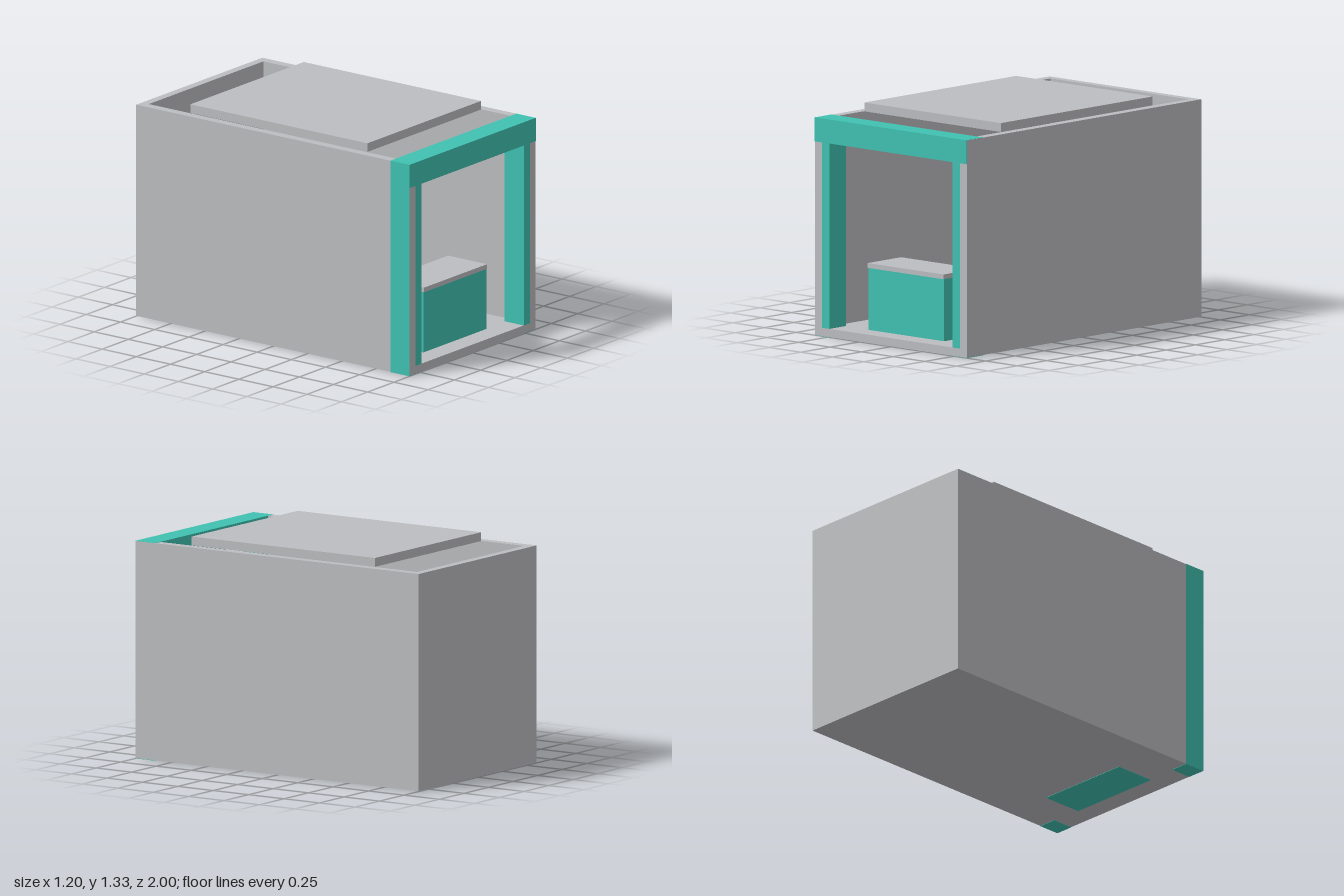
import * as THREE from 'three';

// Open-topped stall: grey shell, teal front frame, counter and raised roof panel
export function createModel() {
  const model = new THREE.Group();
  model.name = 'stall';
  const grey = new THREE.MeshStandardMaterial({ color: 0xbcbdc0 });
  grey.name = 'grey';
  const teal = new THREE.MeshStandardMaterial({ color: 0x40c2b3 });
  teal.name = 'teal';

  // Box given by its lower and upper corners
  function box(name, material, [x0, y0, z0], [x1, y1, z1]) {
    const mesh = new THREE.Mesh(new THREE.BoxGeometry(x1 - x0, y1 - y0, z1 - z0), material);
    mesh.position.set((x0 + x1) / 2, (y0 + y1) / 2, (z0 + z1) / 2);
    mesh.name = name;
    model.add(mesh);
  }

  const W = 0.6, H = 1.28, inner = 0.545, frameZ = 0.86, beamY = 1.14;

  // Shell
  box('floor', grey, [-inner, 0.002, -0.95], [inner, 0.05, 0.999]);
  box('backWall', grey, [-W, 0.002, -1], [W, H, -0.95]);
  for (const s of [-1, 1]) {
    const side = s < 0 ? 'right' : 'left';
    const span = (a, b) => (s < 0 ? [-b, -a] : [a, b]);
    const [w0, w1] = span(inner, W);
    box(side + 'Wall', grey, [w0, 0.002, -0.95], [w1, H, 0.999]);

    // Posts inside the opening, with their feet showing under the floor
    const [p0, p1] = span(0.487, inner);
    box(side + 'Post', teal, [p0, 0.05, frameZ], [p1, beamY, 1]);
    const [f0, f1] = span(0.487, W);
    box(side + 'PostFoot', teal, [f0, 0, frameZ], [f1, 0.003, 0.998]);
  }
  box('rightPostFacing', teal, [-W - 0.002, 0.002, frameZ], [-W, beamY, 0.999]);

  // Front beam
  box('frontBeam', teal, [-W - 0.002, beamY, frameZ], [W - 0.001, H + 0.001, 1.001]);

  // Counter
  box('counterBody', teal, [-0.3, 0.05, 0.61], [0.3, 0.415, 0.87]);
  box('counterTop', grey, [-0.3, 0.415, 0.59], [0.3, 0.443, 0.875]);
  box('counterFoot', teal, [-0.3, 0, 0.61], [0.3, 0.003, 0.87]);

  // Raised roof panel
  box('roofPanel', grey, [-0.54, H, -0.65], [0.54, 1.332, 0.645]);

  return model;
}
